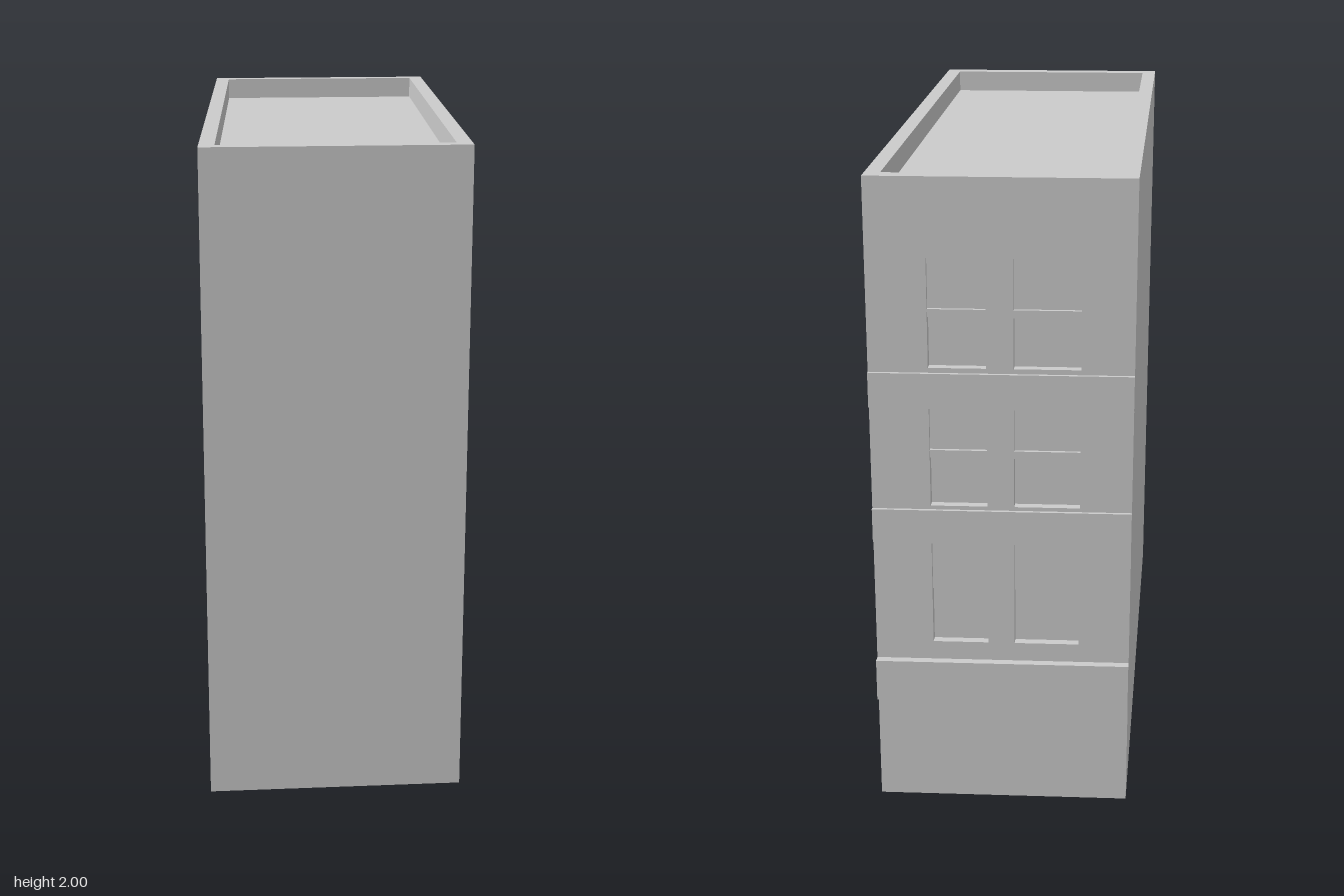
import * as THREE from 'three';

const W = 0.777, L = 1.827, H = 2, WALL = 0.046;

// Skewed footprint: local x runs along the facade, local z points out of it
const basis = new THREE.Matrix4().makeBasis(
  new THREE.Vector3(-0.77, 0, 0.1).normalize(),
  new THREE.Vector3(0, 1, 0),
  new THREE.Vector3(-0.16, 0, -1.82).normalize()
).setPosition(0.305, 0, -0.946);

const material = new THREE.MeshStandardMaterial({ color: 0xcccccc, flatShading: true });

function add(group, name, geometry) {
  geometry.applyMatrix4(basis);
  const mesh = new THREE.Mesh(geometry, material);
  mesh.name = name;
  group.add(mesh);
}

// Box given by its minimum and maximum corners
function block(x0, x1, y0, y1, z0, z1) {
  return new THREE.BoxGeometry(x1 - x0, y1 - y0, z1 - z0)
    .translate((x0 + x1) / 2, (y0 + y1) / 2, (z0 + z1) / 2);
}

function polygon(points, Type = THREE.Shape) {
  return new Type(points.map(([x, y]) => new THREE.Vector2(x, y)));
}

const rect = (x0, x1, y0, y1) => [[x0, y0], [x1, y0], [x1, y1], [x0, y1]];

export function createModel() {
  const model = new THREE.Group();
  model.name = 'building';

  // Side and far walls, rising past the roof as a parapet
  const plan = polygon([
    [0, WALL], [WALL, WALL], [WALL, L - WALL], [W - WALL, L - WALL],
    [W - WALL, WALL], [W, WALL], [W, L], [0, L],
  ]);
  add(model, 'outerWalls',
    new THREE.ExtrudeGeometry(plan, { depth: H, bevelEnabled: false }).rotateX(-Math.PI / 2));

  // Roof and ground slabs between the walls
  add(model, 'roof', block(WALL, W - WALL, 1.9, 1.93, -L + WALL, -WALL));
  add(model, 'base', block(WALL, W - WALL, 0, 0.03, -L + WALL, -WALL));

  // Window openings: two columns by three storeys
  const columns = [[0.176, 0.346], [0.426, 0.622]];
  const storeys = [
    { bottom: 0.545, top: 0.895, rail: false },
    { bottom: 1.0, top: 1.33, rail: true },
    { bottom: 1.435, top: 1.765, rail: true },
  ];
  const facade = polygon(rect(0, W, 0, H));
  const windows = new THREE.Group();
  windows.name = 'windows';

  for (const [x0, x1] of columns) {
    for (const { bottom, top, rail } of storeys) {
      facade.holes.push(polygon(rect(x0, x1, bottom, top).reverse(), THREE.Path));
      const middle = (bottom + top) / 2;
      add(windows, 'upperSash', block(x0, x1, middle, top, -WALL, -0.014));
      add(windows, 'lowerSash', block(x0, x1, bottom, middle, -WALL, -0.026));
      if (rail) add(windows, 'meetingRail', block(x0, x1, middle - 0.012, middle + 0.012, -0.03, -0.004));
    }
  }
  add(model, 'facade',
    new THREE.ExtrudeGeometry(facade, { depth: WALL, bevelEnabled: false }).translate(0, 0, -WALL));
  model.add(windows);

  // Horizontal bands across the facade: bottom, top, projection
  for (const [y0, y1, out] of [[0.35, 0.485, 0.025], [0.88, 0.988, 0.01], [1.312, 1.42, 0.01]]) {
    add(model, 'facadeBand', block(0, W, y0, y1, -0.002, out));
  }

  return model;
}
